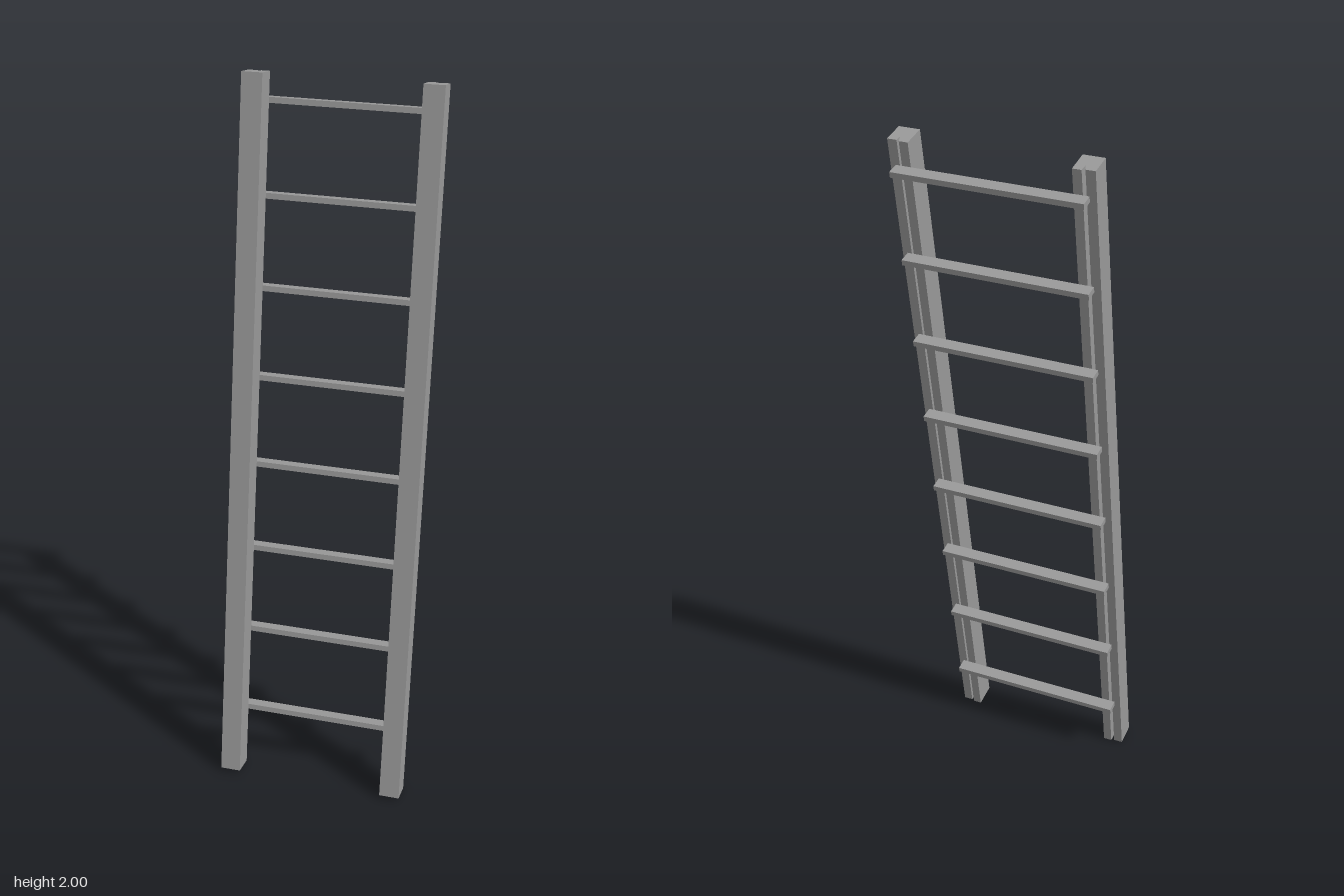
import * as THREE from 'three';

const LEAN = THREE.MathUtils.degToRad(10);
const RAIL_LENGTH = 2.019;
const RUNG_COUNT = 8;

export function createModel() {
  const material = new THREE.MeshStandardMaterial({ color: 0x999999, flatShading: true });
  const model = new THREE.Group();
  model.name = 'ladder';

  // Everything is built upright, then leaned backwards about the front foot edge
  const leaning = new THREE.Group();
  leaning.name = 'leaningFrame';
  leaning.position.set(0, 0.0116, 0.22);
  leaning.rotation.x = -LEAN;
  model.add(leaning);

  // Rail section (x, depth): square post with a raised inner lip and a wedge groove in the back.
  // The groove's steep wall is on the +x side of both rails.
  for (const side of [1, -1]) {
    const steepAtLip = side < 0;
    const section = [
      [0.212, 0], [0.2695, 0], [0.2695, 0.063], [0.244, 0.063],
      [steepAtLip ? 0.237 : 0.243, 0.045], [0.236, 0.067], [0.212, 0.067],
    ];
    const shape = new THREE.Shape(section.map(([x, d]) => new THREE.Vector2(side * x, d)));
    const geometry = new THREE.ExtrudeGeometry(shape, { depth: RAIL_LENGTH, bevelEnabled: false });
    geometry.rotateX(-Math.PI / 2); // depth runs to -z, length runs up
    const rail = new THREE.Mesh(geometry, material);
    rail.name = side > 0 ? 'leftRail' : 'rightRail';
    leaning.add(rail);
  }

  // Flat rungs fixed across the back of the rails
  const rungGeometry = new THREE.BoxGeometry(0.506, 0.0155, 0.0355);
  for (let i = 0; i < RUNG_COUNT; i++) {
    const rung = new THREE.Mesh(rungGeometry, material);
    rung.name = `rung${i + 1}`;
    rung.position.set(0, 0.179 + i * 0.2522, -0.0852);
    leaning.add(rung);
  }
  return model;
}
